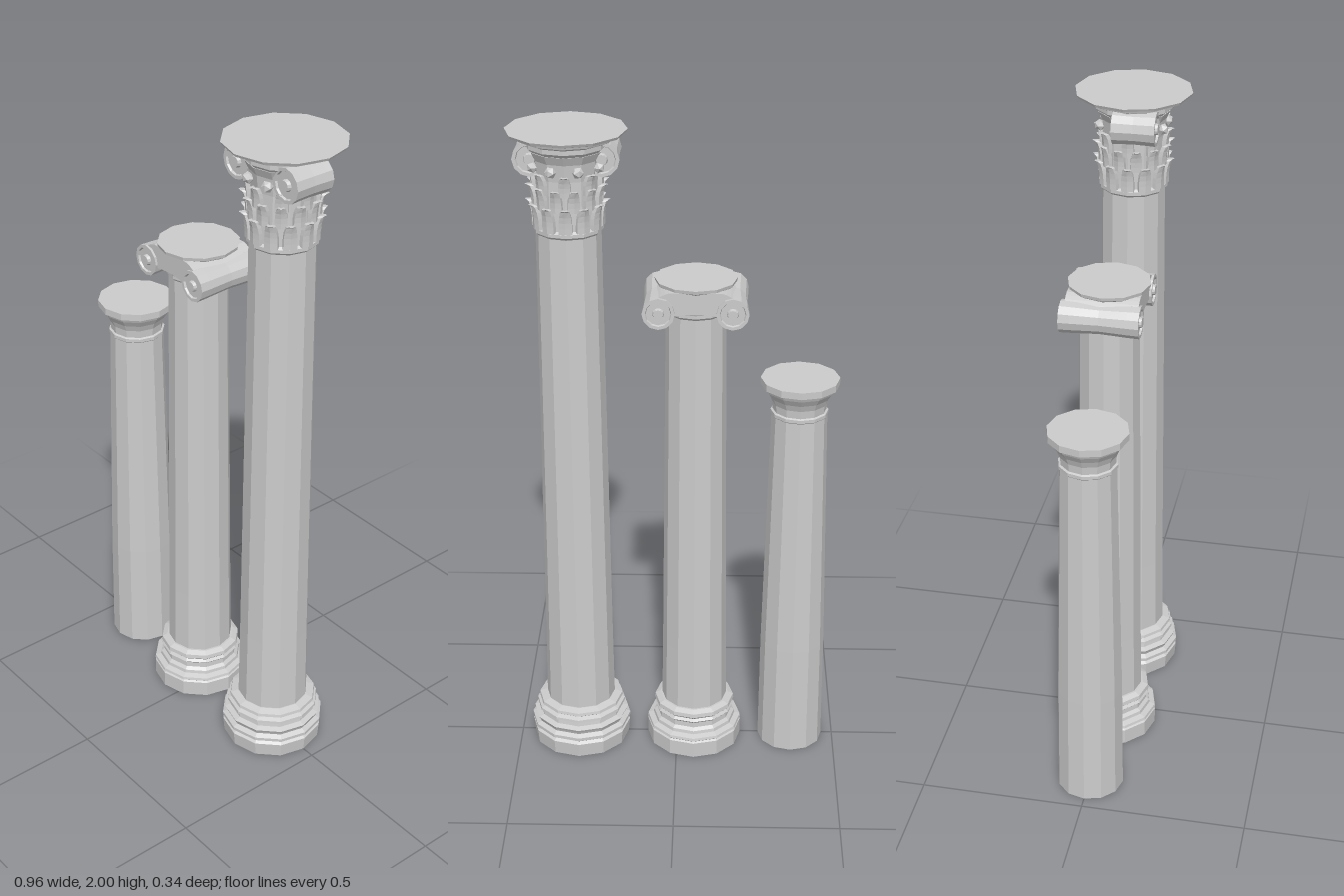
import * as THREE from 'three';

const stone = new THREE.MeshStandardMaterial({ color: 0xcccccc, flatShading: true });

function add(parent, name, geometry, x = 0, y = 0, z = 0) {
  const mesh = new THREE.Mesh(geometry, stone);
  mesh.name = name;
  mesh.position.set(x, y, z);
  parent.add(mesh);
  return mesh;
}

// Closed turned solid from [radius, height] pairs, bottom to top
function turned(profile, sides = 12) {
  const pts = [[0, profile[0][1]], ...profile, [0, profile[profile.length - 1][1]]];
  return new THREE.LatheGeometry(pts.map(([r, y]) => new THREE.Vector2(r, y)), sides);
}

// Scroll roll lying along z, with a recessed end and a round eye at each end
function scroll(parent, name, x, y, z0, z1, r, waist) {
  const group = new THREE.Group();
  group.name = name;
  const h = (z1 - z0) / 2;
  const end = [[r * 0.3, h + 0.004], [r * 0.36, h - 0.006], [r * 0.75, h - 0.006], [r * 0.8, h], [r, h], [r * 0.98, h * 0.7]];
  const profile = [
    ...end.map(([a, b]) => [a, -b]),
    [r * waist, 0],
    ...end.slice().reverse(),
  ];
  add(group, 'roll', turned(profile, 12)).rotation.x = Math.PI / 2;
  group.position.set(x, y, (z0 + z1) / 2);
  parent.add(group);
}

// Upright leaf that narrows to its tip and curls outward
function leafGeometry(w, h, d, out) {
  const geo = new THREE.BoxGeometry(w, h, d, 2, 5, 1);
  const p = geo.attributes.position;
  for (let i = 0; i < p.count; i++) {
    const t = p.getY(i) / h + 0.5;
    const x = p.getX(i);
    const rib = x === 0 ? 0.005 : 0;
    const droop = t > 0.9 ? 0.14 * h : 0;
    p.setXYZ(i, x * (1 - 0.6 * t ** 3), t * h - droop, p.getZ(i) + out * t ** 3 + rib);
  }
  return geo;
}

function ring(parent, name, geometry, count, radius, y, offset = 0) {
  for (let i = 0; i < count; i++) {
    const a = ((i + offset) / count) * Math.PI * 2;
    add(parent, name, geometry, Math.sin(a) * radius, y, Math.cos(a) * radius).rotation.y = a;
  }
}

function column(root, name, x) {
  const group = new THREE.Group();
  group.name = name;
  group.position.x = x;
  root.add(group);
  return group;
}

export function createModel() {
  const root = new THREE.Group();
  root.name = 'threeColumns';

  // Short plain column
  const plain = column(root, 'plainColumn', -0.363);
  add(plain, 'shaft', turned([[0.102, 0], [0.099, 0.36], [0.083, 1.14]]));
  add(plain, 'capital', turned([
    [0.083, 1.14], [0.086, 1.143], [0.086, 1.153], [0.08, 1.156], [0.082, 1.18],
    [0.09, 1.2], [0.103, 1.22], [0.108, 1.232], [0.117, 1.234], [0.117, 1.255],
  ]));

  // Middle column with rolled scroll capital
  const scrolled = column(root, 'scrollColumn', -0.055);
  add(scrolled, 'base', turned([
    [0.148, 0], [0.148, 0.05], [0.142, 0.054], [0.149, 0.06], [0.147, 0.068], [0.13, 0.074],
    [0.128, 0.084], [0.118, 0.092], [0.117, 0.108], [0.125, 0.116], [0.118, 0.124],
    [0.126, 0.132], [0.124, 0.144], [0.108, 0.152],
  ]));
  add(scrolled, 'shaft', turned([[0.102, 0.145], [0.099, 0.36], [0.088, 1.47]]));
  add(scrolled, 'collar', turned([[0.088, 1.465], [0.094, 1.472], [0.094, 1.482], [0.1, 1.5]]));
  // Band sweeping over the shaft and down to both scrolls
  const band = new THREE.Shape();
  band.moveTo(-0.07, 1.484);
  band.quadraticCurveTo(0, 1.5, 0.07, 1.484);
  band.lineTo(0.115, 1.475);
  band.lineTo(0.13, 1.52);
  band.quadraticCurveTo(0.11, 1.545, 0.075, 1.556);
  band.lineTo(-0.075, 1.556);
  band.quadraticCurveTo(-0.11, 1.545, -0.13, 1.52);
  band.lineTo(-0.115, 1.475);
  add(scrolled, 'scrollBand', new THREE.ExtrudeGeometry(band, { depth: 0.21, bevelEnabled: false, curveSegments: 5 }), 0, 0, -0.107);
  add(scrolled, 'topSlab', turned([[0.1, 1.545], [0.118, 1.556], [0.12, 1.566]]));
  for (const s of [-1, 1])
    scroll(scrolled, s < 0 ? 'rightScroll' : 'leftScroll', s * 0.106, 1.496, -0.118, 0.11, 0.047, 0.9);

  // Tall column with leafy capital
  const leafy = column(root, 'leafColumn', 0.308);
  add(leafy, 'base', turned([
    [0.152, 0], [0.156, 0.045], [0.146, 0.052], [0.157, 0.06], [0.157, 0.07], [0.143, 0.078],
    [0.146, 0.086], [0.15, 0.094], [0.133, 0.1], [0.131, 0.112], [0.141, 0.118], [0.14, 0.126],
    [0.126, 0.132], [0.134, 0.138], [0.132, 0.147], [0.11, 0.154],
  ]));
  add(leafy, 'shaft', turned([[0.108, 0.145], [0.105, 0.4], [0.094, 1.71]]));
  add(leafy, 'bell', turned([
    [0.094, 1.705], [0.101, 1.712], [0.101, 1.722], [0.093, 1.728], [0.091, 1.8],
    [0.09, 1.87], [0.096, 1.92], [0.108, 1.945],
  ]));
  ring(leafy, 'lowerLeaf', leafGeometry(0.038, 0.085, 0.012, 0.016), 12, 0.094, 1.724);
  ring(leafy, 'middleLeaf', leafGeometry(0.034, 0.075, 0.012, 0.018), 12, 0.092, 1.785, 0.5);
  ring(leafy, 'upperLeaf', leafGeometry(0.036, 0.07, 0.012, 0.016), 8, 0.092, 1.83);
  ring(leafy, 'bud', new THREE.IcosahedronGeometry(0.017, 0), 8, 0.1, 1.9, 0.5);
  for (const s of [-1, 1])
    scroll(leafy, s < 0 ? 'rightScroll' : 'leftScroll', s * 0.1, 1.922, -0.04, 0.085, 0.05, 0.95);
  add(leafy, 'scrollBridge', new THREE.BoxGeometry(0.19, 0.018, 0.11), 0, 1.958, 0.022);
  add(leafy, 'topSlab', turned([
    [0.1, 1.94], [0.116, 1.955], [0.116, 1.968], [0.14, 1.978], [0.142, 1.984], [0.168, 1.992], [0.172, 2],
  ]));

  return root;
}
